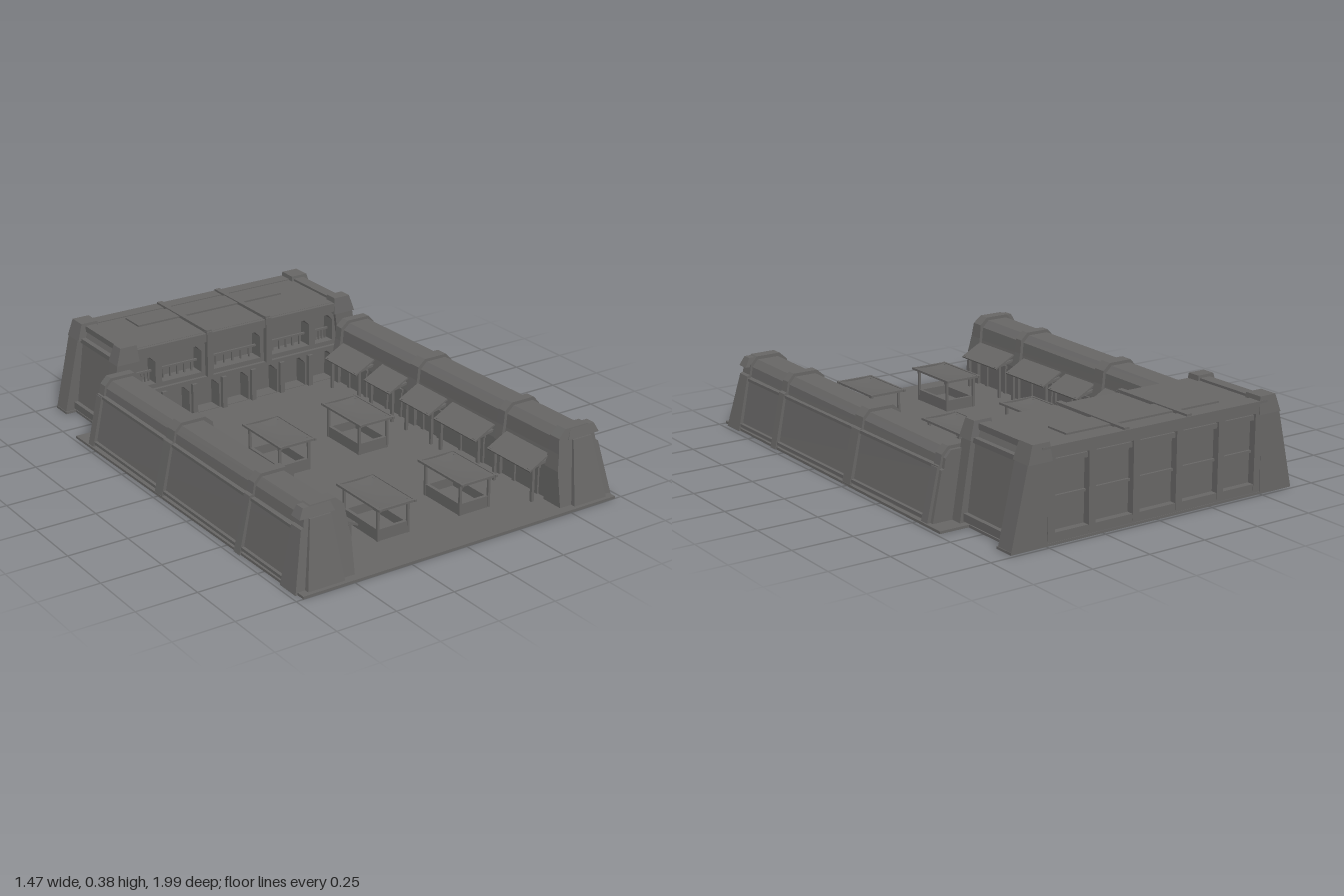
import * as THREE from 'three';

export function createModel() {
  const root = new THREE.Group();
  root.name = 'walledMarket';
  const stone = new THREE.MeshStandardMaterial({ color: 0x666564, side: THREE.DoubleSide });
  stone.name = 'dark stone';

  const add = (parent, name, geo) => {
    const m = new THREE.Mesh(geo, stone);
    m.name = name;
    parent.add(m);
    return m;
  };
  const group = (parent, name) => {
    const g = new THREE.Group();
    g.name = name;
    parent.add(g);
    return g;
  };
  // Box from its centre and size
  const box = (parent, name, x, y, z, w, h, d) => {
    const m = add(parent, name, new THREE.BoxGeometry(w, h, d));
    m.position.set(x, y, z);
    return m;
  };
  const shapeOf = pts => new THREE.Shape(pts.map(p => new THREE.Vector2(p[0], p[1])));
  const mirror = (pts, s) => pts.map(([x, y]) => [x * s, y]);
  // Cross-section in x and y drawn out from z0 to z1
  const prism = (shape, z0, z1) =>
    new THREE.ExtrudeGeometry(shape, { depth: z1 - z0, bevelEnabled: false }).translate(0, 0, z0);
  // Tapered block; rectangles are [x0, x1, z0, z1] on side s
  const block = (parent, name, s, y0, b, y1, t) => {
    const geo = new THREE.BoxGeometry(1, 1, 1), p = geo.attributes.position;
    for (let i = 0; i < p.count; i++) {
      const up = p.getY(i) > 0, r = up ? t : b;
      const outer = p.getX(i) * s > 0;
      p.setXYZ(i, s * (outer ? r[1] : r[0]), up ? y1 : y0, p.getZ(i) > 0 ? r[3] : r[2]);
    }
    geo.computeVertexNormals();
    return add(parent, name, geo);
  };

  // Ground plate, stepped in behind the side walls
  const half = [[0.72, -1], [0.735, 0.66], [0.61, 0.66], [0.61, 0.9], [0.655, 0.9], [0.655, 0.985]];
  const plate = new THREE.ExtrudeGeometry(
    shapeOf([...half, ...mirror(half, -1).reverse()]), { depth: 0.01, bevelEnabled: false });
  add(root, 'groundPlate', plate.rotateX(-Math.PI / 2));

  // Side walls, slightly lower towards the back
  const wallProfile = [[0.49, 0], [0.715, 0], [0.672, 0.21], [0.662, 0.215], [0.655, 0.255],
    [0.63, 0.283], [0.535, 0.283], [0.505, 0.255], [0.5, 0.2], [0.49, 0.14]];
  const bandProfile = wallProfile.map(([x, y]) => [0.6 + (x - 0.6) * 1.13, y * 1.045]);
  const sloped = geo => {
    const p = geo.attributes.position;
    for (let i = 0; i < p.count; i++) {
      const y = p.getY(i), z = p.getZ(i);
      p.setY(i, y * (1 + 0.045 * z));
      if (z > 0.9) p.setZ(i, z + 0.05 * (1 - y / 0.29));
    }
    geo.computeVertexNormals();
    return geo;
  };
  const bands = [[-0.565, -0.525], [-0.025, 0.03], [0.555, 0.595], [0.865, 0.915]];
  const awnings = [[-0.395, 0.25], [-0.13, 0.2], [0.13, 0.22], [0.4, 0.29], [0.74, 0.28]];
  for (const s of [1, -1]) {
    const wall = group(root, s > 0 ? 'leftWall' : 'rightWall');
    add(wall, 'wallBody', sloped(prism(shapeOf(mirror(wallProfile, s)), -0.58, 0.905)));
    for (const [a, b] of bands)
      add(wall, 'wallBand', sloped(prism(shapeOf(mirror(bandProfile, s)), a, b)));
    // Outer foot and eaves rails, broken by the bands
    for (const [x, y, w] of [[0.707, 0.025, 0.03], [0.668, 0.213, 0.022]])
      box(wall, 'outerRail', s * x, y, 0.16, w, 0.012, 1.45);
    // Sloping end buttress and cap
    block(wall, 'endButtress', s, 0, [0.53, 0.69, 0.9, 0.985], 0.262, [0.555, 0.645, 0.9, 0.93]);
    block(wall, 'endCap', s, 0.265, [0.535, 0.685, 0.87, 0.925], 0.303, [0.55, 0.665, 0.875, 0.915]);
    // Doorways and awnings along the court
    awnings.forEach(([z, len]) => {
      const stall = group(wall, 'awningStall');
      const cloth = box(stall, 'awning', s * 0.445, 0.17, z, 0.108, 0.007, len - 0.02);
      cloth.rotation.z = s * 0.48;
      for (const e of [-1, 1]) {
        const zz = z + e * (len / 2 - 0.025);
        box(stall, 'awningPost', s * 0.425, 0.08, zz, 0.012, 0.15, 0.012);
        const brace = box(stall, 'awningBrace', s * 0.45, 0.158, zz, 0.1, 0.01, 0.01);
        brace.rotation.z = s * 0.2;
        box(stall, 'doorJamb', s * 0.49, 0.065, z + e * len * 0.25, 0.016, 0.13, 0.016);
      }
      box(stall, 'doorLintel', s * 0.49, 0.13, z, 0.018, 0.014, len * 0.5 + 0.03);
    });
  }

  // Rear hall: solid core and pierced front
  const hall = group(root, 'rearHall');
  const hallHalf = [[0.6, 0], [0.56, 0.3], [0.535, 0.355], [0.5, 0.364]];
  const hallShape = () => shapeOf([...hallHalf, ...mirror(hallHalf, -1).reverse()]);
  add(hall, 'hallCore', prism(hallShape(), -0.955, -0.65));
  const front = hallShape();
  const opening = (x, w, y0, y1, c) => front.holes.push(new THREE.Path([
    [x - w, y0], [x + w, y0], [x + w, y1 - c], [x + w - c, y1], [x - w + c, y1], [x - w, y1 - c],
  ].map(p => new THREE.Vector2(p[0], p[1]))));
  const bays = [-0.435, -0.29, -0.145, 0, 0.145, 0.29, 0.435];
  for (const x of bays) opening(x, 0.053, 0.012, 0.145, 0.03);
  const windows = [[-0.44, 0.045], [-0.27, 0.095], [0, 0.115], [0.27, 0.095], [0.44, 0.045]];
  for (const [x, w] of windows) opening(x, w, 0.19, 0.31, 0.025);
  add(hall, 'arcadeFront', prism(front, -0.65, -0.585));
  for (const [x, w] of windows) {
    box(hall, 'windowRail', x, 0.235, -0.625, w * 2, 0.008, 0.01);
    for (let i = -2; i <= 2; i++)
      box(hall, 'windowBar', x + i * w * 0.36, 0.213, -0.625, 0.006, 0.045, 0.008);
  }
  box(hall, 'frontLedge', 0, 0.163, -0.58, 1, 0.016, 0.02);
  box(hall, 'frontCornice', 0, 0.345, -0.585, 1.04, 0.036, 0.035);
  for (let i = -3.5; i <= 3.5; i++)
    box(hall, 'arcadeColumn', i * 0.145, 0.075, -0.578, 0.022, 0.15, 0.02);

  // Roof ribs that fold down the front and back
  for (const x of [-0.145, 0.145]) {
    box(hall, 'roofRib', x, 0.366, -0.775, 0.024, 0.02, 0.41);
    box(hall, 'frontRib', x, 0.27, -0.573, 0.026, 0.2, 0.022);
  }
  box(hall, 'roofPanel', 0, 0.366, -0.845, 0.71, 0.01, 0.11);
  box(hall, 'rearCornice', 0, 0.345, -0.955, 1.04, 0.045, 0.06);

  // Rear face: five recessed bays between ribs
  box(hall, 'rearPlinth', 0, 0.025, -0.965, 1.16, 0.04, 0.035);
  box(hall, 'rearBeam', 0, 0.305, -0.96, 1.08, 0.02, 0.03);
  box(hall, 'rearRail', 0, 0.17, -0.955, 1.08, 0.01, 0.02);
  for (const x of [-0.48, -0.3, -0.1, 0.1, 0.3, 0.48])
    box(hall, 'rearRib', x, 0.175, -0.965, 0.03, 0.31, 0.04);

  // Corner piers, wider at the foot, with caps
  for (const s of [1, -1]) {
    const piers = group(hall, s > 0 ? 'leftPiers' : 'rightPiers');
    block(piers, 'rearPier', s, 0, [0.5, 0.655, -0.985, -0.905], 0.32, [0.49, 0.582, -0.985, -0.905]);
    block(piers, 'frontPier', s, 0, [0.53, 0.63, -0.63, -0.57], 0.32, [0.49, 0.578, -0.63, -0.57]);
    for (const [z0, z1] of [[-0.99, -0.895], [-0.635, -0.562]])
      block(piers, 'pierCap', s, 0.315, [0.48, 0.584, z0, z1], 0.385, [0.487, 0.562, z0 + 0.008, z1 - 0.008]);
    box(piers, 'roofEdge', s * 0.52, 0.362, -0.77, 0.05, 0.024, 0.3);
    box(piers, 'sideRail', s * 0.597, 0.03, -0.77, 0.03, 0.03, 0.28);
    box(piers, 'sideEaves', s * 0.555, 0.315, -0.77, 0.03, 0.02, 0.28);
  }

  // Market stalls with open counters and sagging canopies
  const stallAt = (x, z) => {
    const g = group(root, 'marketStall');
    g.position.set(x, 0, z);
    box(g, 'stallFloor', 0, 0.014, 0, 0.14, 0.012, 0.22);
    for (const e of [-1, 1]) {
      box(g, 'sideCounter', e * 0.064, 0.032, 0, 0.014, 0.05, 0.22);
      box(g, 'endCounter', 0, 0.032, e * 0.104, 0.14, 0.05, 0.014);
      box(g, 'canopyPole', 0, 0.147, e * 0.132, 0.17, 0.009, 0.009);
      box(g, 'canopyRail', e * 0.08, 0.147, 0, 0.009, 0.009, 0.28);
      for (const f of [-1, 1])
        box(g, 'stallPost', e * 0.068, 0.078, f * 0.108, 0.01, 0.14, 0.01);
    }
    const cloth = new THREE.PlaneGeometry(0.165, 0.265, 6, 6).rotateX(-Math.PI / 2);
    const p = cloth.attributes.position;
    for (let i = 0; i < p.count; i++) {
      const u = p.getX(i) / 0.0825, v = p.getZ(i) / 0.1325;
      p.setY(i, 0.15 - 0.012 * (1 - u * u) * (0.5 + 0.5 * (1 - v * v)));
    }
    cloth.computeVertexNormals();
    add(g, 'canopy', cloth);
  };
  for (const x of [-0.19, 0.19]) for (const z of [0.03, 0.69]) stallAt(x, z);

  return root;
}
